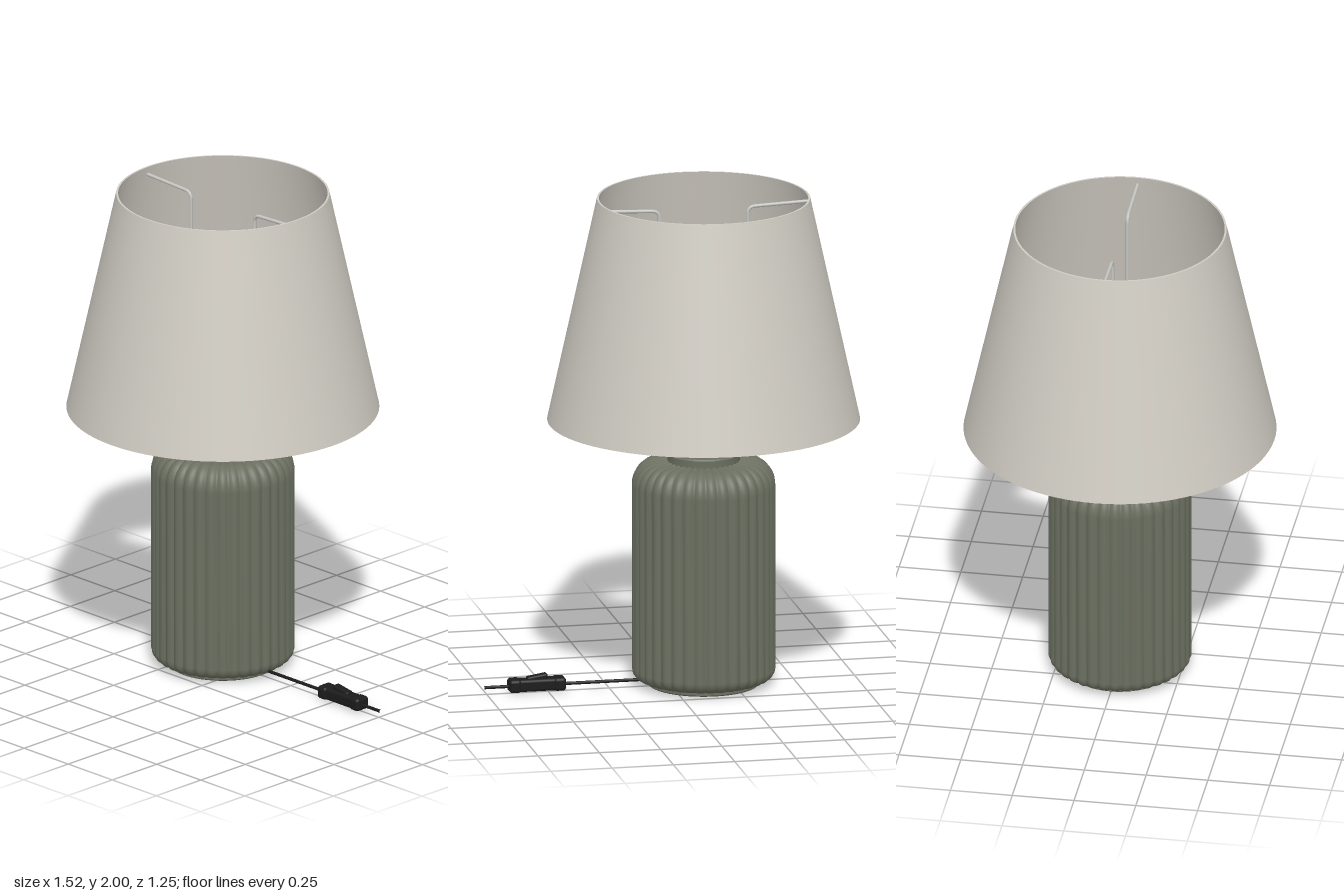
import * as THREE from 'three';
import { toCreasedNormals } from 'three/addons/utils/BufferGeometryUtils.js';
import { RoundedBoxGeometry } from 'three/addons/geometries/RoundedBoxGeometry.js';

const AXIS_X = -0.135; // the lamp stands left of centre, the cord runs out to +x
const FLUTES = 36;

const mat = (name, color) => {
  const m = new THREE.MeshStandardMaterial({ color });
  m.name = name;
  return m;
};
const ceramic = mat('sage ceramic', 0x6b6f60);
const fabric = mat('shade fabric', 0xd0ccc3);
const metal = mat('pale metal', 0xc6c6c2);
const black = mat('black plastic', 0x1c1c1c);

// Profile turned about the y axis, with sharp edges kept
function turned(points, segments = 64) {
  const g = new THREE.LatheGeometry(points.map(([r, y]) => new THREE.Vector2(r, y)), segments);
  return toCreasedNormals(g, 0.6);
}

// Tube through straight runs joined by small bends
function wire(points, radius, bend = 0.03) {
  const p = points.map((a) => new THREE.Vector3(...a));
  const path = new THREE.CurvePath();
  let from = p[0];
  for (let i = 1; i < p.length - 1; i++) {
    const a = p[i].clone().add(p[i - 1].clone().sub(p[i]).setLength(bend));
    const b = p[i].clone().add(p[i + 1].clone().sub(p[i]).setLength(bend));
    path.add(new THREE.LineCurve3(from, a));
    path.add(new THREE.QuadraticBezierCurve3(a, p[i], b));
    from = b;
  }
  path.add(new THREE.LineCurve3(from, p[p.length - 1]));
  return new THREE.TubeGeometry(path, 80, radius, 10);
}

// Rounded jar whose radius swells into convex flutes
function flutedBody() {
  const pts = [[0.222, 0.016], [0.238, 0.018]];
  for (let i = 0; i <= 6; i++) {
    const a = (i / 6) * Math.PI / 2;
    pts.push([0.24 + 0.047 * Math.sin(a), 0.067 - 0.047 * Math.cos(a)]);
  }
  pts.push([0.287, 0.3], [0.287, 0.6]);
  for (let i = 0; i <= 9; i++) {
    const a = (i / 9) * Math.PI / 2;
    pts.push([0.197 + 0.09 * Math.cos(a), 0.82 + 0.1 * Math.sin(a)]);
  }
  pts.push([0.17, 0.923], [0.14, 0.925]);
  const g = new THREE.LatheGeometry(pts.map(([r, y]) => new THREE.Vector2(r, y)), FLUTES * 8);
  const pos = g.attributes.position;
  for (let i = 0; i < pos.count; i++) {
    const x = pos.getX(i), y = pos.getY(i), z = pos.getZ(i);
    const r = Math.hypot(x, z);
    const valley = 1 - Math.abs(Math.sin(Math.atan2(x, z) * FLUTES / 2));
    const depth = 0.012 * valley;
    const flat = THREE.MathUtils.smoothstep(r, 0.19, 0.28); // wall versus shoulder
    const s = 1 - depth * (0.3 + 0.7 * flat) / r;
    pos.setXYZ(i, x * s, y - (y > 0.5 ? depth * 0.6 * (1 - flat) : 0), z * s);
  }
  g.computeVertexNormals();
  return g;
}

export function createModel() {
  const model = new THREE.Group();
  model.name = 'tableLamp';
  const lamp = new THREE.Group();
  lamp.name = 'lamp';
  lamp.position.x = AXIS_X;
  model.add(lamp);

  const add = (parent, name, geometry, material, x = 0, y = 0, z = 0) => {
    const m = new THREE.Mesh(geometry, material);
    m.name = name;
    m.position.set(x, y, z);
    parent.add(m);
    return m;
  };

  // Ceramic base: fluted wall, hollow foot and neck
  add(lamp, 'flutedBody', flutedBody(), ceramic);
  add(lamp, 'hollowFoot', turned([
    [0, 0.88], [0.15, 0.88], [0.2, 0.85], [0.255, 0.78], [0.255, 0.09], [0.24, 0.05],
    [0.2, 0.03], [0.2, 0.005], [0.205, 0], [0.22, 0], [0.225, 0.005], [0.225, 0.03],
  ]), ceramic);
  add(lamp, 'neck', turned([[0.145, 0.91], [0.145, 0.95], [0.14, 0.956], [0, 0.956]]), ceramic);

  // Stem and its fixing nut
  add(lamp, 'nut', turned([
    [0.03, 0.956], [0.05, 0.956], [0.05, 0.965], [0.065, 0.968], [0.065, 0.985], [0.06, 0.99], [0, 0.99],
  ]), metal);
  add(lamp, 'stem', new THREE.CylinderGeometry(0.022, 0.022, 0.2, 24), metal, 0, 1.07);

  // Bulb holder with two flanges and an open mouth
  add(lamp, 'bulbHolder', turned([
    [0, 1.13], [0.04, 1.13], [0.055, 1.15], [0.072, 1.17], [0.075, 1.27], [0.085, 1.28],
    [0.11, 1.285], [0.11, 1.3], [0.078, 1.302], [0.078, 1.325], [0.092, 1.33], [0.092, 1.345],
    [0.076, 1.35], [0.076, 1.4], [0.06, 1.4], [0.06, 1.36], [0, 1.36],
  ]), black);
  const collar = new THREE.Group();
  collar.name = 'holderGrip';
  lamp.add(collar);
  for (let i = 0; i < 24; i++) {
    const a = (i / 24) * Math.PI * 2;
    const rib = add(collar, 'gripRib', new THREE.BoxGeometry(0.008, 0.05, 0.008), black,
      0.077 * Math.sin(a), 1.375, 0.077 * Math.cos(a));
    rib.rotation.y = a;
  }

  // Shade carrier: washer clamped on the holder and two bent arms
  add(lamp, 'carrierWasher', turned([
    [0.077, 1.303], [0.138, 1.303], [0.142, 1.307], [0.142, 1.311], [0.138, 1.315], [0.077, 1.315], [0.077, 1.303],
  ]), metal);
  for (const s of [-1, 1]) {
    add(lamp, s > 0 ? 'leftArm' : 'rightArm', wire([
      [s * 0.13, 1.309, 0], [s * 0.18, 1.309, 0], [s * 0.18, 1.955, 0], [s * 0.427, 1.965, 0],
    ], 0.007), metal);
  }

  // Tapered shade, open at both ends
  add(lamp, 'shade', turned([
    [0.617, 1.09], [0.625, 1.09], [0.426, 2], [0.418, 2], [0.617, 1.09],
  ], 96), fabric);

  // Cord with inline switch
  add(model, 'cord', wire([
    [AXIS_X, 0.88, 0], [AXIS_X, 0.028, 0], [0.76, 0.028, 0],
  ], 0.0065, 0.05), black);
  const sw = new THREE.Group();
  sw.name = 'inlineSwitch';
  model.add(sw);
  add(sw, 'switchBody', new RoundedBoxGeometry(0.2, 0.05, 0.058, 3, 0.012), black, 0.545, 0.032);
  for (const x of [0.455, 0.637]) {
    add(sw, 'switchEnd', new RoundedBoxGeometry(0.05, 0.054, 0.068, 3, 0.014), black, x, 0.032);
  }
  const rocker = add(sw, 'rocker', new RoundedBoxGeometry(0.085, 0.022, 0.034, 2, 0.008), black, 0.545, 0.06);
  rocker.rotation.z = -0.16;

  return model;
}
